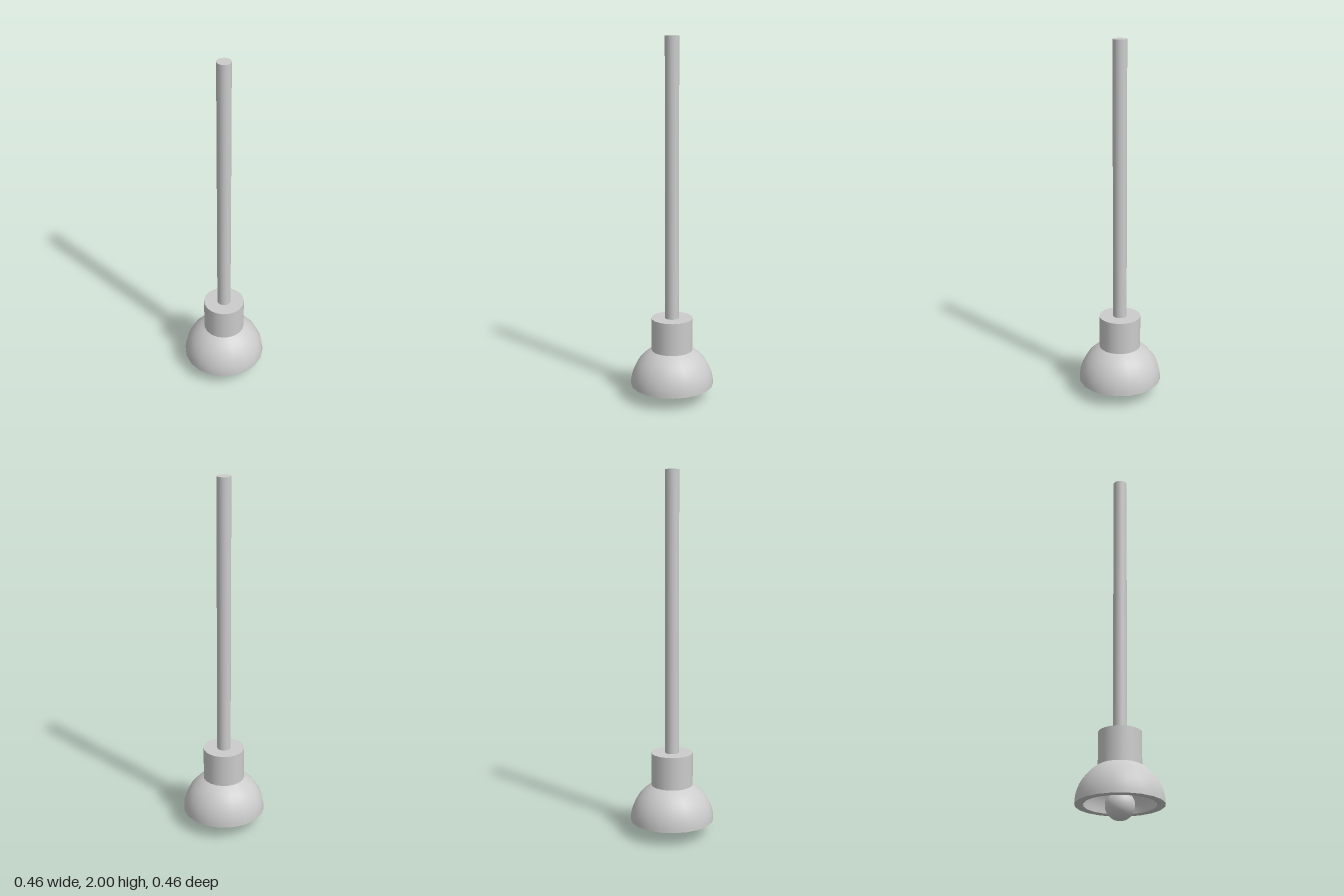
import * as THREE from 'three';

const SIDES = 20;
const material = new THREE.MeshStandardMaterial({ color: 0xcccccc });

function add(group, name, geometry, y) {
  const mesh = new THREE.Mesh(geometry, material);
  mesh.name = name;
  mesh.position.y = y;
  group.add(mesh);
}

// Upright cylinder between two heights
function post(group, name, radius, bottom, top) {
  add(group, name, new THREE.CylinderGeometry(radius, radius, top - bottom, SIDES), (bottom + top) / 2);
}

// Points of a circular arc, angles measured up from the rim plane
function arc(radius, from, to, steps = 12) {
  return Array.from({ length: steps + 1 }, (_, i) => {
    const a = from + (to - from) * i / steps;
    return new THREE.Vector2(Math.max(0, radius * Math.cos(a)), radius * Math.sin(a));
  });
}

export function createModel() {
  const group = new THREE.Group();
  group.name = 'pendantLamp';
  const rimY = 0.08, outer = 0.231, inner = 0.187;

  // Hanging rod and the collar it enters
  post(group, 'rod', 0.038, 0.45, 2);
  post(group, 'collar', 0.115, 0.27, 0.463);

  // Thick dome shade: outer skin, flat rim and inner skin
  add(group, 'shadeOuter', new THREE.LatheGeometry(arc(outer, 0, Math.PI / 3), SIDES), rimY);
  add(group, 'shadeRim', new THREE.LatheGeometry(
    [new THREE.Vector2(inner, 0), new THREE.Vector2(outer, 0)], SIDES), rimY);
  add(group, 'shadeInner', new THREE.LatheGeometry(arc(inner, Math.PI / 2, 0), SIDES), rimY);

  // Bulb holder and bulb
  post(group, 'socket', 0.05, 0.15, 0.27);
  add(group, 'bulb', new THREE.SphereGeometry(0.077, SIDES, 16), 0.077);

  return group;
}
